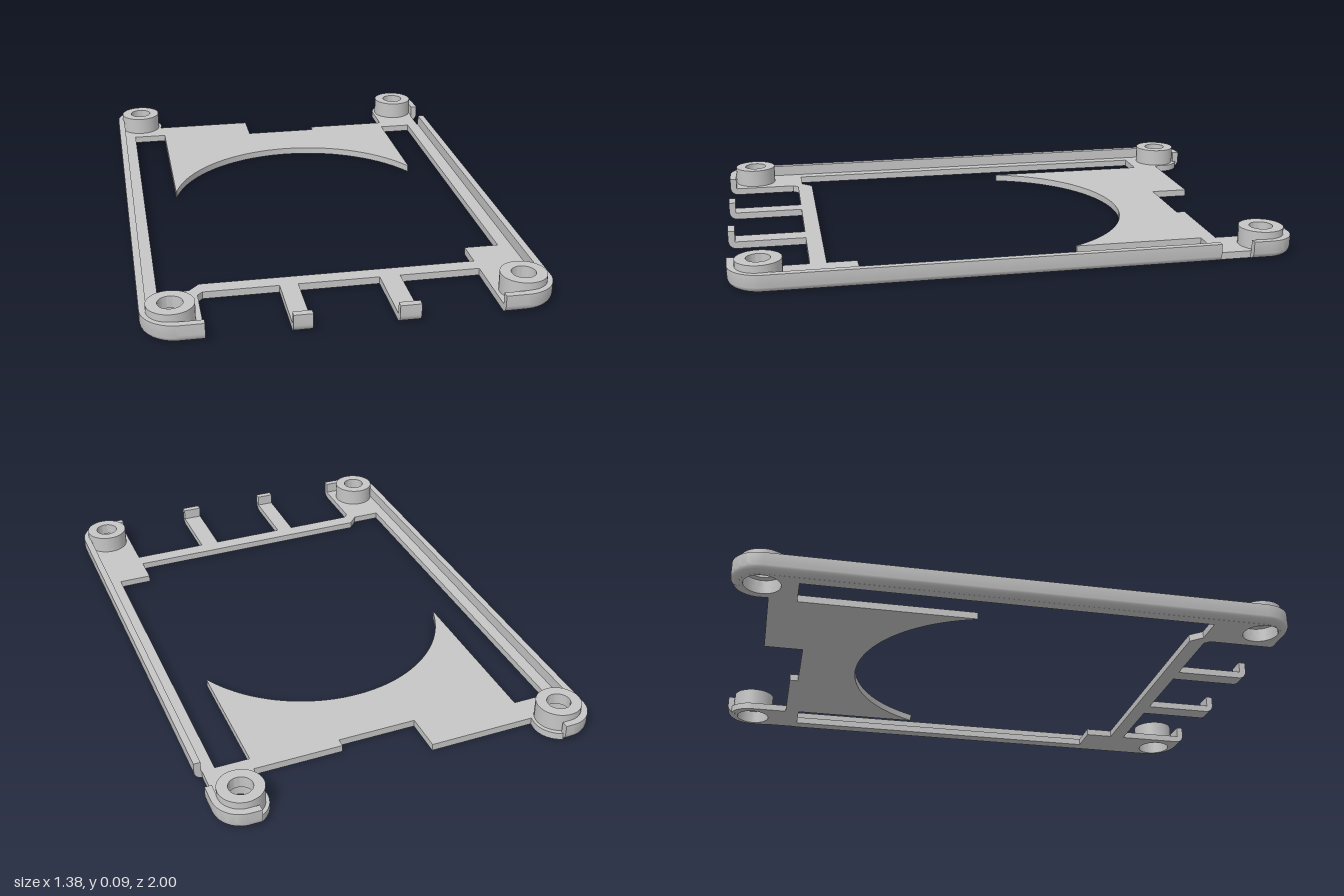
import * as THREE from 'three';
import { toCreasedNormals } from 'three/addons/utils/BufferGeometryUtils.js';

const FLOOR = 0.026, RIM = 0.067, BOSS = 0.093, HOLE = 0.042, RECESS = 0.064, RECESS_TOP = 0.05;
const BOSSES = [[-0.59, -0.895], [0.588, -0.895], [-0.59, 0.893], [0.588, 0.893]];

// Points on an arc in the x-z plane
function arc(cx, cz, r, from, to, n = 14) {
  return Array.from({ length: n + 1 }, (_, i) => {
    const a = from + (to - from) * i / n;
    return [cx + r * Math.cos(a), cz + r * Math.sin(a)];
  });
}

// Rim cross-section: distance inward and height, with a rounded lower outer edge
function rimProfile() {
  const pts = [], r = 0.03;
  for (let i = 0; i <= 6; i++) {
    const a = Math.PI + i / 6 * Math.PI / 2;
    pts.push(new THREE.Vector2(r + r * Math.cos(a), r + r * Math.sin(a)));
  }
  pts.push(new THREE.Vector2(r, FLOOR), new THREE.Vector2(0.025, FLOOR),
    new THREE.Vector2(0.025, RIM), new THREE.Vector2(0, RIM));
  return pts;
}

// Sweep the rim cross-section along a path with the inside on its left
function sweepRim(path) {
  const profile = rimProfile(), m = profile.length, pos = [], idx = [];
  const dir = (u, v) => new THREE.Vector2(v[0] - u[0], v[1] - u[1]).normalize();
  path.forEach((p, i) => {
    const a = path[Math.max(i - 1, 0)], b = path[Math.min(i + 1, path.length - 1)];
    const t = dir(a, p).add(dir(p, b)).normalize();
    for (const q of profile) pos.push(p[0] + t.y * q.x, q.y, p[1] - t.x * q.x);
  });
  for (let i = 0; i < path.length - 1; i++) {
    for (let j = 0; j < m; j++) {
      const k = (j + 1) % m, a = i * m + j, b = i * m + k;
      idx.push(a, b, b + m, a, b + m, a + m);
    }
  }
  const last = (path.length - 1) * m;
  for (const [a, b, c] of THREE.ShapeUtils.triangulateShape(profile, [])) {
    idx.push(a, c, b, last + a, last + b, last + c);
  }
  const g = new THREE.BufferGeometry();
  g.setAttribute('position', new THREE.Float32BufferAttribute(pos, 3));
  g.setIndex(idx);
  return toCreasedNormals(g, 0.6);
}

// Flat tray floor: outline, large opening and screw recesses
function floorGeometry() {
  const P = Math.PI;
  const outer = [
    [-0.49, 0.972], [-0.49, 0.74], [-0.472, 0.72],
    [-0.21, 0.72], [-0.21, 0.972], [-0.146, 0.972], [-0.146, 0.72],
    [0.138, 0.72], [0.138, 0.972], [0.21, 0.972], [0.21, 0.72],
    [0.494, 0.72], [0.494, 0.972],
    ...arc(0.57, 0.88, 0.092, P / 2, 0),
    ...arc(0.59, -0.9, 0.072, 0, -1.97),
    ...arc(0.59, -0.9, 0.092, -1.97, -P),
    [0.498, -0.761], [0.175, -0.761], [0.175, -0.729],
    [-0.113, -0.729], [-0.113, -0.871], [-0.502, -0.871],
    ...arc(-0.59, -0.9, 0.092, 0, -1.25),
    ...arc(-0.59, -0.9, 0.072, -1.25, -P),
    ...arc(-0.57, 0.88, 0.092, P, P / 2),
  ];
  const opening = [
    [-0.622, -0.772], [-0.492, -0.772], [-0.492, -0.137],
    ...arc(0.02, 0.013, 0.53, P + 0.29, 2 * P - 0.48, 40),
    [0.493, -0.235], [0.493, -0.707], [0.617, -0.707],
    [0.617, 0.555], [0.493, 0.555], [0.493, 0.662],
    [-0.478, 0.662], [-0.515, 0.702], [-0.622, 0.702],
  ];
  const vec = (pts) => pts.map(([x, z]) => new THREE.Vector2(x, z));
  const shape = new THREE.Shape(vec(outer));
  shape.holes.push(new THREE.Path(vec(opening)));
  for (const [x, z] of BOSSES) {
    shape.holes.push(new THREE.Path(vec(arc(x, z, RECESS, 0, 2 * P, 40).slice(0, -1))));
  }
  const g = new THREE.ExtrudeGeometry(shape, { depth: FLOOR, bevelEnabled: false });
  g.rotateX(P / 2).translate(0, FLOOR, 0);
  return toCreasedNormals(g, 0.5);
}

// Raised ring around each screw hole, recessed underneath for the screw head
function bossGeometry() {
  const pts = [[RECESS, FLOOR], [0.08, FLOOR], [0.08, BOSS], [HOLE, BOSS],
    [HOLE, RECESS_TOP], [RECESS, RECESS_TOP], [RECESS, FLOOR]];
  const g = new THREE.LatheGeometry(pts.map(([r, y]) => new THREE.Vector2(r, y)), 40);
  return toCreasedNormals(g, 0.5);
}

export function createModel() {
  const model = new THREE.Group();
  model.name = 'mountingTray';
  const grey = new THREE.MeshStandardMaterial({ color: 0xc6c6c6 });
  grey.name = 'lightGrey';
  const add = (name, geometry) => {
    const mesh = new THREE.Mesh(geometry, grey);
    mesh.name = name;
    model.add(mesh);
    return mesh;
  };

  add('floor', floorGeometry());

  // Edge rims, broken by the gaps at the front, back and side
  const P = Math.PI;
  const rims = {
    rightRim: [[-0.56, -1], ...arc(-0.59, -0.9, 0.1, -P / 2, -P),
      ...arc(-0.57, 0.88, 0.12, P, P / 2), [-0.49, 1]],
    leftRim: [[0.494, 1], ...arc(0.57, 0.88, 0.12, P / 2, 0), [0.69, -0.71]],
    backLeftRim: [[0.69, -0.83], ...arc(0.59, -0.9, 0.1, 0, -P / 2), [0.552, -1]],
    rightClipLip: [[-0.21, 1], [-0.146, 1]],
    leftClipLip: [[0.138, 1], [0.21, 1]],
  };
  for (const [name, path] of Object.entries(rims)) add(name, sweepRim(path));

  // Screw bosses
  const boss = bossGeometry();
  for (const [x, z] of BOSSES) add('screwBoss', boss).position.set(x, 0, z);

  return model;
}
